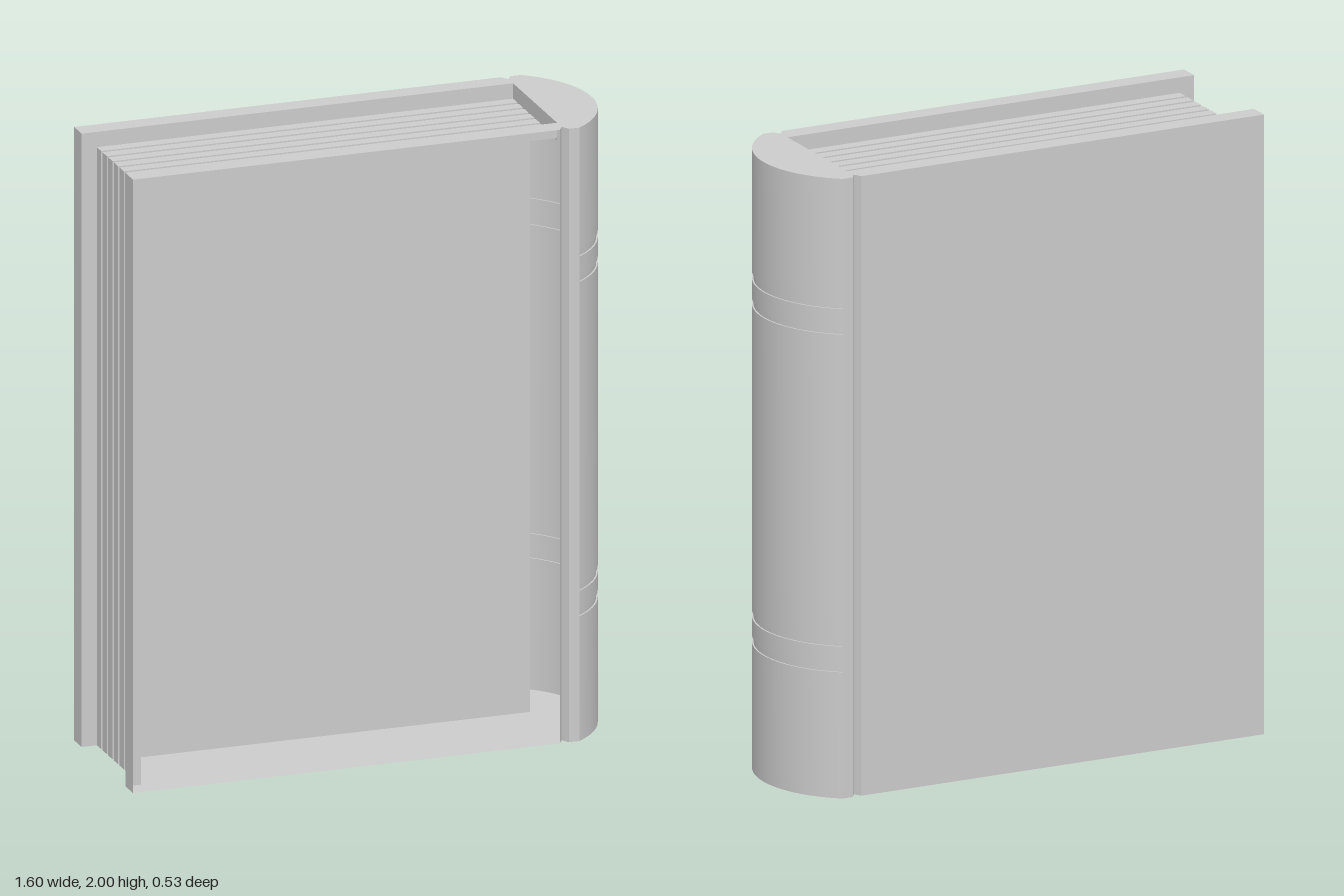
import * as THREE from 'three';
import { toCreasedNormals } from 'three/addons/utils/BufferGeometryUtils.js';

const H = 2, ZO = 0.267, ZI = 0.2;           // height, outer and inner cover planes
const PAGE_X = -0.75, PAGE_TOP = 1.95, SPINE_X = 0.615, EDGE_X = -0.8;

const material = new THREE.MeshStandardMaterial({ color: 0xcccccc, side: THREE.DoubleSide });

function add(group, name, geometry) {
  const mesh = new THREE.Mesh(geometry, material);
  mesh.name = name;
  group.add(mesh);
  return mesh;
}

// Surface through equal-length rows of [x, y, z] points
function loft(rows) {
  const n = rows[0].length, index = [];
  for (let i = 0; i < rows.length - 1; i++) {
    for (let j = 0; j < n - 1; j++) {
      const a = i * n + j, b = a + n;
      index.push(a, b, a + 1, b, b + 1, a + 1);
    }
  }
  const g = new THREE.BufferGeometry();
  g.setAttribute('position', new THREE.Float32BufferAttribute(rows.flat(2), 3));
  g.setIndex(index);
  return toCreasedNormals(g, 0.4);
}

// Upright wall following a plan path of [x, z] points
const wall = (path, y0, y1) => loft([y1, y0].map((y) => path.map(([x, z]) => [x, y, z])));

// Horizontal face from a plan outline of [x, z] points
function slab(outline, y, up) {
  const shape = new THREE.Shape(outline.map(([x, z]) => new THREE.Vector2(x, up ? -z : z)));
  const g = new THREE.ShapeGeometry(shape);
  g.rotateX(up ? -Math.PI / 2 : Math.PI / 2);
  g.translate(0, y, 0);
  return g;
}

// Rounded spine in plan, from back (-z) to front (+z), drawn in by an inset
const R = 0.331, CX = 0.8 - R, HALF = Math.asin(ZO / R);
function spineArc(inset = 0) {
  const pts = [];
  for (let i = 0; i <= 40; i++) {
    const a = -HALF + (2 * HALF * i) / 40;
    pts.push([CX + (R - inset) * Math.cos(a), (R - inset) * Math.sin(a)]);
  }
  return pts;
}

// Hinge groove beside the spine, for the side s = -1 (back) or 1 (front)
const hinge = (s) => [[0.6, s * ZO], [0.615, s * 0.242], [0.63, s * ZO], spineArc()[s < 0 ? 0 : 40]];

// Cross-section of the page block: [z, depth] with narrow grooves
function pageSection() {
  const pts = [[-ZI, 0]], w = 0.006, d = 0.008;
  for (let i = -3; i <= 3; i++) {
    const z = i * 0.0515;
    pts.push([z - w, 0], [z - w, d], [z + w, d], [z + w, 0]);
  }
  pts.push([ZI, 0]);
  return pts;
}

export function createModel() {
  const book = new THREE.Group();
  book.name = 'book';

  // Back cover is closed; the front cover is an open frame
  const covers = new THREE.Group();
  covers.name = 'covers';
  book.add(covers);
  add(covers, 'backCover', wall([[EDGE_X, -ZI], [EDGE_X, -ZO], ...hinge(-1)], 0, H));
  add(covers, 'frontCoverEdge', wall([[EDGE_X, ZO], [EDGE_X, ZI]], 0, H));
  add(covers, 'frontHinge', wall(hinge(1), 0, H));
  for (const s of [-1, 1]) {
    const side = s < 0 ? 'back' : 'front';
    add(covers, side + 'CoverInnerEdge', wall([[EDGE_X, s * ZI], [PAGE_X, s * ZI]], 0, H));
    add(covers, side + 'CoverInnerTop', wall([[PAGE_X, s * ZI], [SPINE_X, s * ZI]], PAGE_TOP, H));
  }
  add(covers, 'spineInnerTop', wall([[SPINE_X, -ZI], [SPINE_X, ZI]], PAGE_TOP - 0.008, H));

  // Rounded spine with four shallow bands pressed into it
  const rows = [];
  const ring = (y, inset) => rows.push(spineArc(inset).map(([x, z]) => [x, y, z]));
  ring(H, 0);
  for (const [top, bottom] of [[1.603, 1.58], [1.517, 1.497], [0.51, 0.49], [0.43, 0.407]]) {
    ring(top, 0);
    ring(top, 0.005);
    ring(bottom, 0.005);
    ring(bottom, 0);
  }
  ring(0, 0);
  add(book, 'spine', loft(rows));

  // Top rim of covers and spine, and the flush base
  const outer = [[EDGE_X, -ZI], [EDGE_X, -ZO], ...hinge(-1), ...spineArc().slice(1, -1),
    ...hinge(1).reverse(), [EDGE_X, ZO], [EDGE_X, ZI]];
  add(book, 'topRim', slab([...outer, [SPINE_X, ZI], [SPINE_X, -ZI]], H, true));
  const section = pageSection();
  const foreEdge = section.map(([z, d]) => [PAGE_X + d, z]).reverse();
  add(book, 'base', slab([...outer, ...foreEdge], 0, false));

  // Grooved page block, running up the fore edge and along the top
  add(book, 'pages', loft([
    section.map(([z, d]) => [PAGE_X + d, 0, z]),
    section.map(([z, d]) => [PAGE_X + d, PAGE_TOP - d, z]),
    section.map(([z, d]) => [SPINE_X, PAGE_TOP - d, z]),
  ]));

  // Flat sheet standing inside the page block
  add(book, 'innerSheet', wall([[PAGE_X, -0.0455], [SPINE_X, -0.0455]], 0, PAGE_TOP));

  return book;
}
